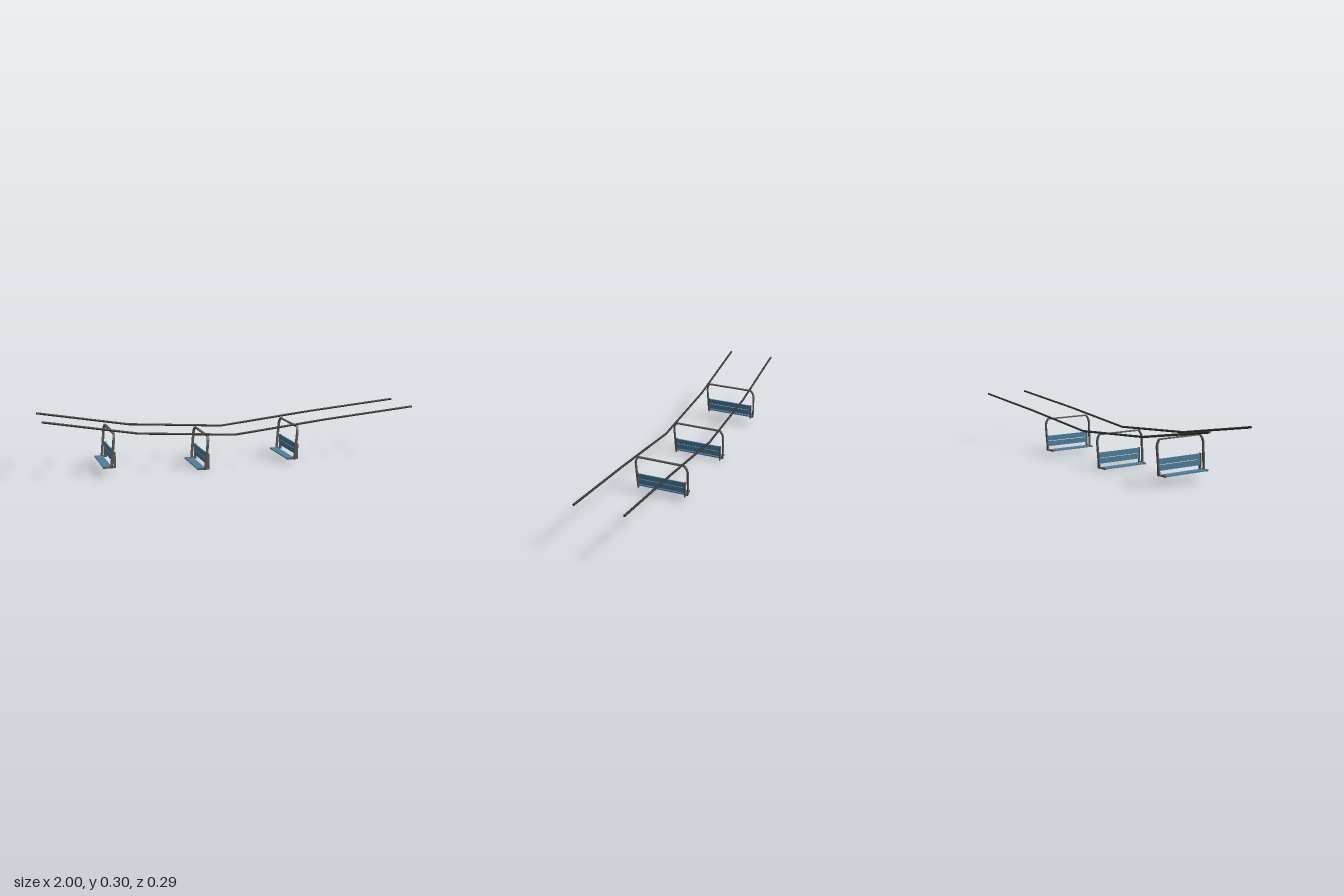
import * as THREE from 'three';

const frameGrey = new THREE.MeshStandardMaterial({ name: 'frame grey', color: 0x605e5c });
const cableDark = new THREE.MeshStandardMaterial({ name: 'cable dark', color: 0x383839 });
const seatBlue = new THREE.MeshStandardMaterial({ name: 'seat blue', color: 0x4d809d });

const BAR_WIDTH = 0.0125; // along x
const BAR_THICK = 0.0065;

function add(parent, name, geometry, material, position) {
  const mesh = new THREE.Mesh(geometry, material);
  mesh.name = name;
  mesh.position.set(...position);
  parent.add(mesh);
  return mesh;
}

// Straight sections along a list of points, turned so that local y follows the path
// and local x stays as close to x as it can
function sections(parent, name, points, material, makeGeometry) {
  for (let i = 0; i < points.length - 1; i++) {
    const a = new THREE.Vector3(...points[i]);
    const b = new THREE.Vector3(...points[i + 1]);
    const along = b.clone().sub(a);
    const mesh = add(parent, name, makeGeometry(along.length()), material, a.add(b).multiplyScalar(0.5).toArray());
    along.normalize();
    const side = Math.abs(along.x) > 0.9 ? new THREE.Vector3(0, 0, -1) : new THREE.Vector3(1, 0, 0);
    const out = side.cross(along).normalize();
    mesh.quaternion.setFromRotationMatrix(
      new THREE.Matrix4().makeBasis(along.clone().cross(out), along, out));
  }
}

// Leaning hoop of flat bar: half profile of [x, y, z], mirrored in z
function createHoop() {
  const hoop = new THREE.Group();
  hoop.name = 'hangerFrame';
  const half = [
    [-0.018, 0.0033, 0.130],
    [-0.018, 0.0033, 0.1385],
    [-0.0135, 0.05, 0.141],
    [-0.005, 0.14, 0.1435],
    [-0.003, 0.157, 0.139],
    [0, 0.175, 0.127],
  ];
  const path = [...half, ...half.map(([x, y, z]) => [x, y, -z]).reverse()];
  sections(hoop, 'frameBar', path, frameGrey,
    (length) => new THREE.BoxGeometry(BAR_WIDTH, length, BAR_THICK));
  // Rounded corners fill the bends
  for (const point of path.slice(1, -1)) {
    add(hoop, 'frameCorner',
      new THREE.CylinderGeometry(BAR_THICK / 2, BAR_THICK / 2, BAR_WIDTH, 10).rotateZ(Math.PI / 2),
      frameGrey, point);
  }
  return hoop;
}

// One bench; its origin lies below the top bar, and the rider faces -x
function createChair() {
  const chair = new THREE.Group();
  chair.name = 'chair';
  chair.add(createHoop());

  // Seat rails and back uprights at both ends
  for (const z of [0.13, -0.13]) {
    add(chair, 'seatRail', new THREE.BoxGeometry(0.064, 0.009, 0.006), frameGrey, [-0.026, 0.0045, z]);
    add(chair, 'backUpright', new THREE.BoxGeometry(0.0125, 0.083, 0.006), frameGrey, [0, 0.0415, z]);
  }

  // Seat board and two back slats
  add(chair, 'seat', new THREE.BoxGeometry(0.043, 0.006, 0.256), seatBlue, [-0.0355, 0.0045, 0]);
  for (const y of [0.067, 0.0365]) {
    add(chair, 'backSlat', new THREE.BoxGeometry(0.006, 0.027, 0.256), seatBlue, [0, y, 0]);
  }
  return chair;
}

export function createModel() {
  const model = new THREE.Group();
  model.name = 'chairlift';

  // Two sagging cables
  const sag = [[-1, 0.296], [-0.522, 0.211], [-0.012, 0.174], [0.5, 0.227], [1, 0.27]];
  for (const z of [0.127, -0.126]) {
    const cable = new THREE.Group();
    cable.name = 'cable';
    sections(cable, 'cableSection', sag.map(([x, y]) => [x, y, z]), cableDark,
      (length) => new THREE.CylinderGeometry(0.0057, 0.0057, length, 8));
    for (const [x, y] of sag.slice(1, -1)) {
      add(cable, 'cableJoint', new THREE.SphereGeometry(0.0057, 8, 6), cableDark, [x, y, z]);
    }
    model.add(cable);
  }

  // Three chairs hung along the cables
  for (const [x, y] of [[-0.647, 0.042], [-0.158, 0], [0.332, 0.022]]) {
    const chair = createChair();
    chair.position.set(x, y, 0);
    model.add(chair);
  }
  return model;
}
